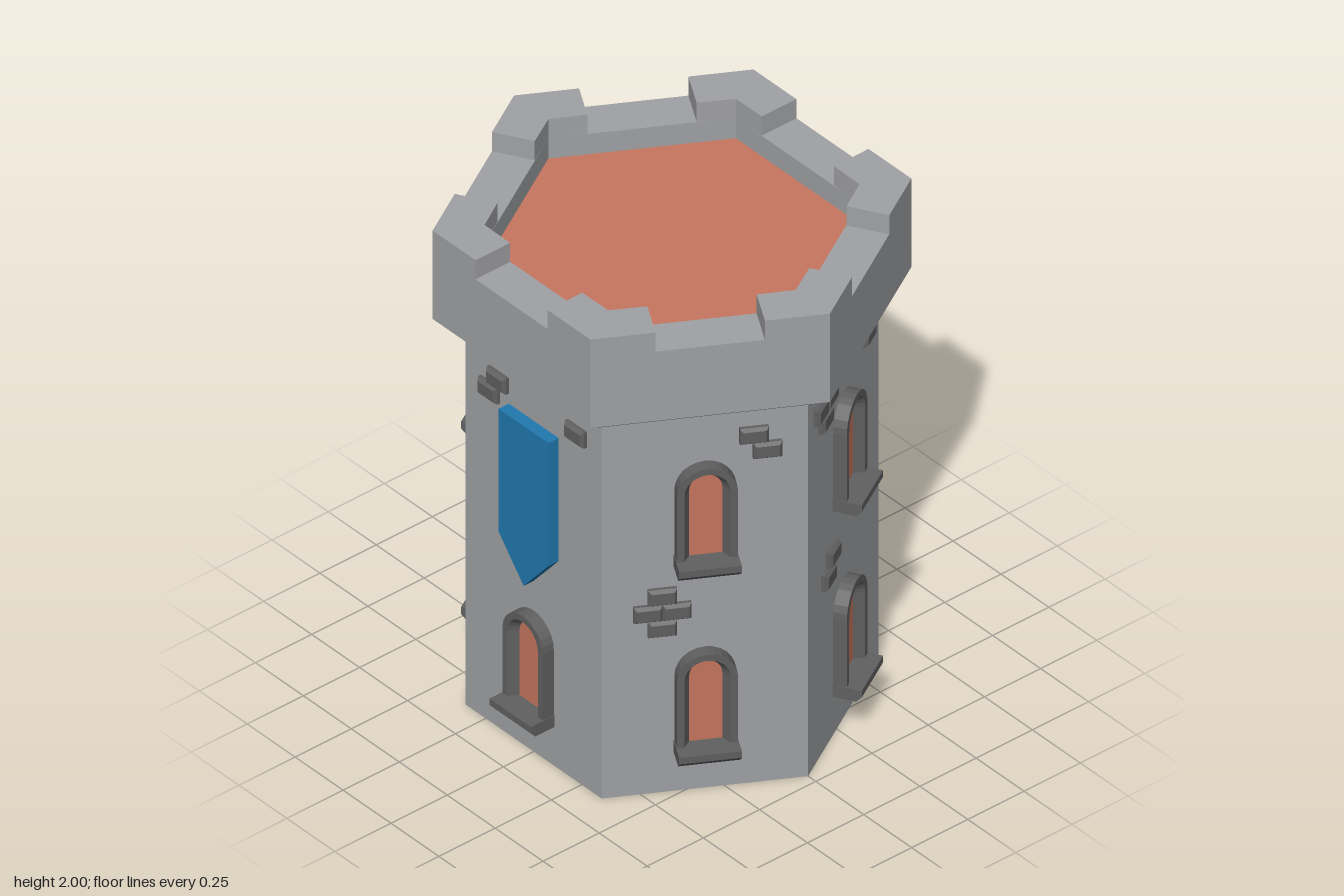
import * as THREE from 'three';

const mat = (name, color, side = THREE.FrontSide) =>
  new THREE.MeshStandardMaterial({ name, color, side, flatShading: true });

const BODY_R = 0.71, BODY_APOTHEM = 0.615, TOP_R = 0.824, ROOF_R = 0.645;
const BRICK_W = 0.1, BRICK_H = 0.066, BRICK_D = 0.025;

function mesh(name, geometry, material) {
  const m = new THREE.Mesh(geometry, material);
  m.name = name;
  return m;
}

// Six-sided wall or slab between two heights, with a corner on the z axis
function hex(rTop, rBottom, y0, y1, open) {
  return new THREE.CylinderGeometry(rTop, rBottom, y1 - y0, 6, 1, open).translate(0, (y0 + y1) / 2, 0);
}

const hexPoints = r => Array.from({ length: 6 }, (_, i) =>
  new THREE.Vector2(r * Math.sin(i * Math.PI / 3), r * Math.cos(i * Math.PI / 3)));

// Plan shape raised from y0 to y1
function raise(shape, y0, y1) {
  return new THREE.ExtrudeGeometry(shape, { depth: y1 - y0, bevelEnabled: false })
    .rotateX(-Math.PI / 2).translate(0, y0, 0);
}

// Round-topped window outline of half width r
function arch(r) {
  const pts = [[-r, 0.19]];
  for (let i = 0; i <= 12; i++) {
    const a = Math.PI * (1 - i / 12);
    pts.push([r * Math.cos(a), 0.486 + r * Math.sin(a)]);
  }
  pts.push([r, 0.19]);
  return pts;
}

// Frame surface lofted through [half width, depth] outlines
function frameGeometry() {
  const rings = [[0.105, 0], [0.105, 0.05], [0.08, 0.05], [0.057, 0.014]]
    .map(([r, d]) => arch(r).map(([x, y]) => [x, y, d]));
  const pos = [];
  for (let i = 0; i < rings.length - 1; i++) {
    for (let j = 0; j < rings[0].length - 1; j++) {
      const a = rings[i][j], b = rings[i][j + 1], c = rings[i + 1][j + 1], d = rings[i + 1][j];
      pos.push(...a, ...c, ...b, ...a, ...d, ...c);
    }
  }
  const g = new THREE.BufferGeometry();
  g.setAttribute('position', new THREE.Float32BufferAttribute(pos, 3));
  g.computeVertexNormals();
  return g;
}

// Sill with a chamfered lower front edge
function sillGeometry() {
  const s = new THREE.Shape([[0, 0.163], [0.085, 0.163], [0.105, 0.185], [0.105, 0.212], [0, 0.212]]
    .map(p => new THREE.Vector2(...p)));
  return new THREE.ExtrudeGeometry(s, { depth: 0.216, bevelEnabled: false })
    .rotateY(-Math.PI / 2).translate(0.108, 0, 0);
}

// Brick whose front face is smaller than its back
function brickGeometry() {
  const g = new THREE.BoxGeometry(BRICK_W, BRICK_H, BRICK_D, 1, 1, 2).translate(0, 0, BRICK_D / 2);
  const p = g.attributes.position, inset = 0.01;
  for (let i = 0; i < p.count; i++) {
    if (p.getZ(i) < BRICK_D * 0.9) continue;
    p.setX(i, p.getX(i) - Math.sign(p.getX(i)) * inset);
    p.setY(i, p.getY(i) - Math.sign(p.getY(i)) * inset);
  }
  g.computeVertexNormals();
  return g;
}

export function createModel() {
  const stone = mat('stone', 0xa1a2a5, THREE.DoubleSide);
  const darkStone = mat('dark stone', 0x5f605f);
  const clay = mat('clay', 0xc6765e);
  const cloth = mat('blue cloth', 0x2079b0);

  const model = new THREE.Group();
  model.name = 'tower';

  // Body, flare, parapet and roof
  model.add(mesh('body', hex(BODY_R, BODY_R, 0, 1.555, true), stone));
  model.add(mesh('flare', hex(TOP_R, BODY_R, 1.555, 1.63, true), stone));
  const ring = new THREE.Shape(hexPoints(TOP_R));
  ring.holes.push(new THREE.Path(hexPoints(ROOF_R)));
  model.add(mesh('parapet', raise(ring, 1.63, 1.92), stone));
  model.add(mesh('roof', hex(ROOF_R, ROOF_R, 1.63, 1.835, false), clay));

  // Corner merlons
  const merlonShape = new THREE.Shape([[0, TOP_R], [-0.194, 0.712], [-0.117, 0.579],
    [0, ROOF_R], [0.117, 0.579], [0.194, 0.712]].map(p => new THREE.Vector2(...p)));
  const merlonGeo = raise(merlonShape, 1.92, 2);
  for (let i = 0; i < 6; i++) {
    const m = mesh('merlon', merlonGeo, stone);
    m.rotation.y = i * Math.PI / 3;
    model.add(m);
  }

  // Shared wall details
  const frameGeo = frameGeometry(), sillGeo = sillGeometry(), brickGeo = brickGeometry();
  const paneGeo = new THREE.ShapeGeometry(new THREE.Shape(
    arch(0.057).reverse().map(p => new THREE.Vector2(...p)))).translate(0, 0, 0.014);
  const bannerGeo = new THREE.ExtrudeGeometry(new THREE.Shape(
    [[-0.13, 1.385], [-0.13, 0.87], [0, 0.715], [0.13, 0.87], [0.13, 1.385]]
      .map(p => new THREE.Vector2(...p))), { depth: 0.045, bevelEnabled: false });

  function addWindow(wall, y) {
    const w = new THREE.Group();
    w.name = 'window';
    w.add(mesh('windowFrame', frameGeo, darkStone), mesh('windowSill', sillGeo, darkStone),
      mesh('windowPane', paneGeo, clay));
    w.position.y = y;
    wall.add(w);
  }

  // Brick clusters as [across, height]
  const topTrio = [[-0.253, 1.46], [-0.153, 1.46], [-0.205, 1.394], [0.228, 1.46]];
  const midPair = [[-0.13, 0.78], [-0.173, 0.714]];
  const topPair = [[0.168, 1.46], [0.214, 1.394]];
  const cross = [[-0.198, 0.758], [-0.098, 0.758], [-0.148, 0.824], [-0.148, 0.692]];

  const walls = [
    { name: 'frontLeftWall', turn: 30, bricks: [...topTrio, ...midPair] },
    { name: 'frontRightWall', turn: -30, bricks: [...topPair, ...cross] },
    { name: 'leftWall', turn: 90, banner: true, bricks: topPair },
    { name: 'rightWall', turn: -90, banner: true,
      bricks: [[-0.18, 1.46], [-0.225, 1.394], [0.228, 1.46]] },
    { name: 'backLeftWall', turn: 150,
      bricks: [...topTrio, ...midPair, [0.166, 0.065], [0.266, 0.065], [0.216, 0.131]] },
    { name: 'backRightWall', turn: 210, bricks: [...topPair, ...cross, [0.23, 0.28]] },
  ];

  for (const { name, turn, banner, bricks } of walls) {
    const wall = new THREE.Group();
    wall.name = name;
    const a = THREE.MathUtils.degToRad(turn);
    wall.rotation.y = a;
    wall.position.set(Math.sin(a) * BODY_APOTHEM, 0, Math.cos(a) * BODY_APOTHEM);
    addWindow(wall, 0);
    if (banner) wall.add(mesh('banner', bannerGeo, cloth));
    else addWindow(wall, 0.777);
    for (const [x, y] of bricks) {
      const b = mesh('brick', brickGeo, darkStone);
      b.position.set(x, y, 0);
      wall.add(b);
    }
    model.add(wall);
  }
  return model;
}
